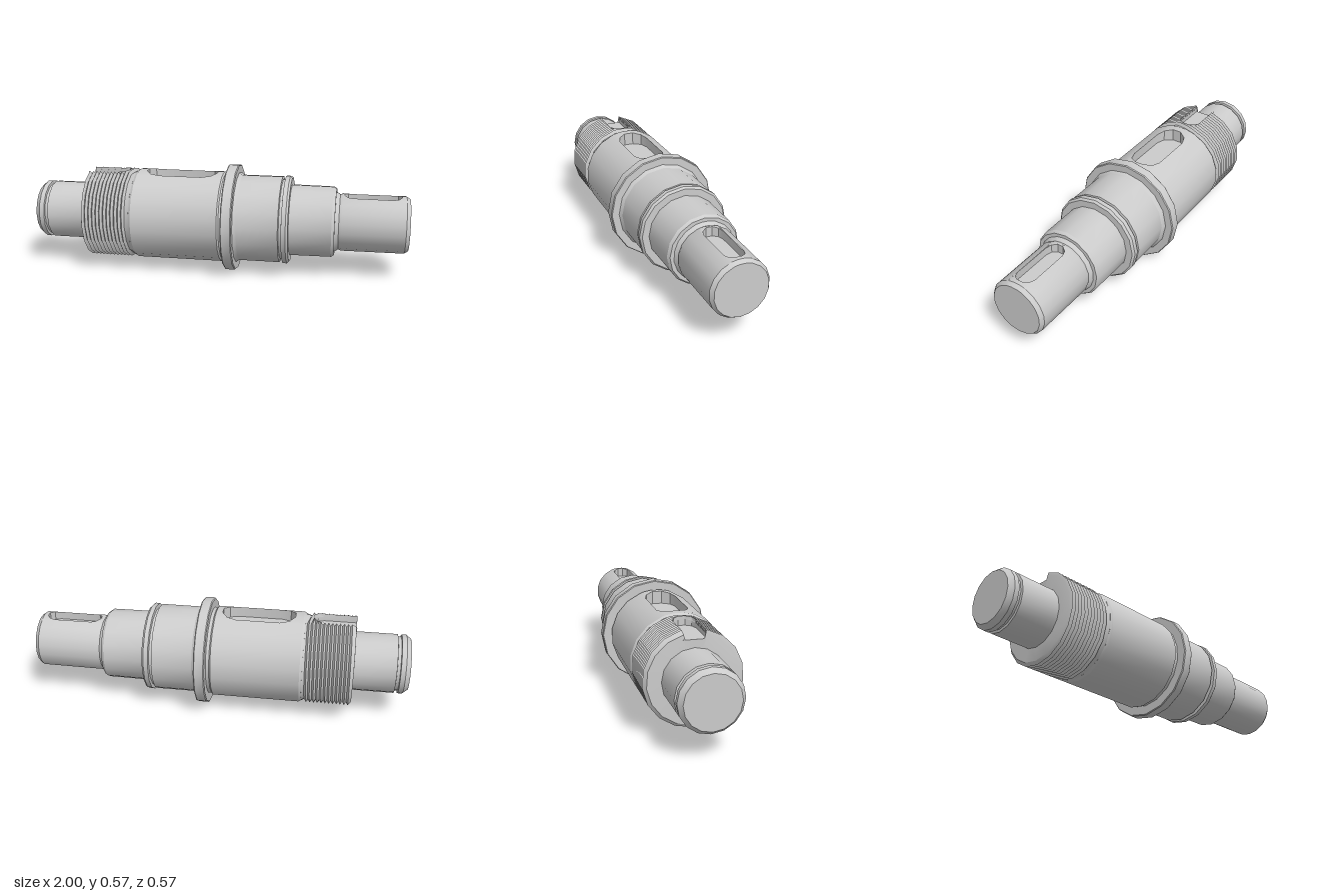
import * as THREE from 'three';
import { mergeGeometries, toCreasedNormals } from 'three/addons/utils/BufferGeometryUtils.js';

const AXIS_Y = 0.285;
const SIDES = 16;
const material = new THREE.MeshStandardMaterial({ color: 0xcccccc });

// Lathe along x with an optional gap of half-angle A at the top; pitch skews the inner rings into a helix
function turned(profile, A = 0, pitch = 0) {
  const pts = profile.map(([r, x]) => new THREE.Vector2(r, x));
  const geo = new THREE.LatheGeometry(pts, SIDES, 1.5 * Math.PI + A, 2 * Math.PI - 2 * A);
  const pos = geo.attributes.position, n = pts.length;
  for (let k = 0; pitch && k < pos.count; k++) {
    const j = k % n;
    if (j > 1 && j < n - 2) pos.setY(k, pos.getY(k) + pitch * (Math.floor(k / n) / SIDES - 0.5));
  }
  return geo.rotateZ(-Math.PI / 2);
}

// Fills the gap with a round-ended keyway from xa to xb with a flat floor
function keywayPatch(profile, { R, w, xa, xb, floor, open }, A, pitch = 0) {
  const columns = [-1, -1, -0.8, -0.3, 0.3, 0.8, 1, 1];
  const pos = [], idx = [];
  const n = profile.length;
  let rows = 0;
  columns.forEach((t, i) => {
    const a = A * t;
    const inset = w * (1 - Math.sqrt(1 - t * t));
    const xL = open ? xa : xa + inset, xR = xb - inset;
    const rim = i === 0 || i === columns.length - 1;
    const depth = rim ? R * Math.cos(a) : floor;
    const line = [];
    const onSurface = (x, r) => line.push([x, r * Math.cos(a), r * Math.sin(a)]);
    profile.forEach(([r, x]) => { if (x <= xa) onSurface(Math.min(x, xL), r); });
    if (!open) onSurface(xL, R);
    line.push([xL, depth, R * Math.sin(a)], [xR, depth, R * Math.sin(a)]);
    onSurface(xR, R);
    profile.forEach(([r, x], j) => {
      const shift = j > 1 && j < n - 2 ? -pitch * t / 2 : 0;
      if (x > xb - w) onSurface(Math.max(x + shift, xR), r);
    });
    rows = line.length;
    pos.push(...line.flat());
  });
  for (let i = 0; i < columns.length - 1; i++) {
    for (let j = 0; j < rows - 1; j++) {
      const a = i * rows + j, b = a + rows;
      idx.push(a, b, b + 1, a, b + 1, a + 1);
    }
  }
  const geo = new THREE.BufferGeometry();
  geo.setAttribute('position', new THREE.Float32BufferAttribute(pos, 3));
  geo.setIndex(idx);
  return geo;
}

function section(name, profile, key, pitch) {
  const A = key ? Math.asin(key.w / key.R) : 0;
  const parts = [turned(profile, A, pitch)];
  if (key) parts.push(keywayPatch(profile, key, A, pitch));
  const bare = parts.map((g) => {
    g.deleteAttribute('uv');
    g.deleteAttribute('normal');
    return g.toNonIndexed();
  });
  const mesh = new THREE.Mesh(toCreasedNormals(mergeGeometries(bare), 0.55), material);
  mesh.name = name;
  return mesh;
}

export function createModel() {
  const group = new THREE.Group();
  group.name = 'steppedShaft';

  // Tail journal with retaining-ring groove
  group.add(section('tailJournal', [
    [0, -1], [0.135, -1], [0.156, -0.975], [0.156, -0.95], [0.143, -0.948],
    [0.143, -0.932], [0.156, -0.93], [0.156, -0.7],
  ]));

  // Threaded length with an open-ended slot
  const pitch = 0.02;
  const thread = [[0.14, -0.715], [0.226, -0.712]];
  for (let i = 0; i < 12; i++) {
    const x = -0.7 + i * pitch;
    thread.push([0.243, x], [0.226, x + pitch / 2]);
  }
  thread.push([0.235, -0.452], [0.2, -0.445]);
  group.add(section('thread', thread,
    { R: 0.24, w: 0.055, xa: -0.715, xb: -0.49, floor: 0.195, open: true }, pitch));

  // Main body with the wide keyway
  group.add(section('mainBody', [
    [0.2, -0.452], [0.235, -0.452], [0.243, -0.44], [0.243, 0.02], [0.234, 0.028], [0.234, 0.052],
  ], { R: 0.243, w: 0.08, xa: -0.4, xb: -0.01, floor: 0.175 }));

  // Thrust collar
  group.add(section('collar', [
    [0.21, 0.045], [0.282, 0.045], [0.286, 0.05], [0.286, 0.097], [0.282, 0.102], [0.21, 0.102],
  ]));

  // Bearing seat with ring groove and lip
  group.add(section('bearingSeat', [
    [0.245, 0.1], [0.232, 0.12], [0.232, 0.335], [0.216, 0.338], [0.216, 0.35],
    [0.236, 0.352], [0.236, 0.375], [0.226, 0.386], [0.17, 0.386],
  ]));

  // Intermediate step
  group.add(section('middleStep', [
    [0.19, 0.38], [0.188, 0.605], [0.178, 0.62], [0.13, 0.62],
  ]));

  // Drive end with the small keyway
  group.add(section('driveEnd', [
    [0.162, 0.615], [0.146, 0.64], [0.152, 0.655], [0.15, 0.98], [0.136, 1], [0, 1],
  ], { R: 0.15, w: 0.05, xa: 0.66, xb: 0.96, floor: 0.1 }));

  group.children.forEach((mesh) => { mesh.position.y = AXIS_Y; });
  return group;
}
